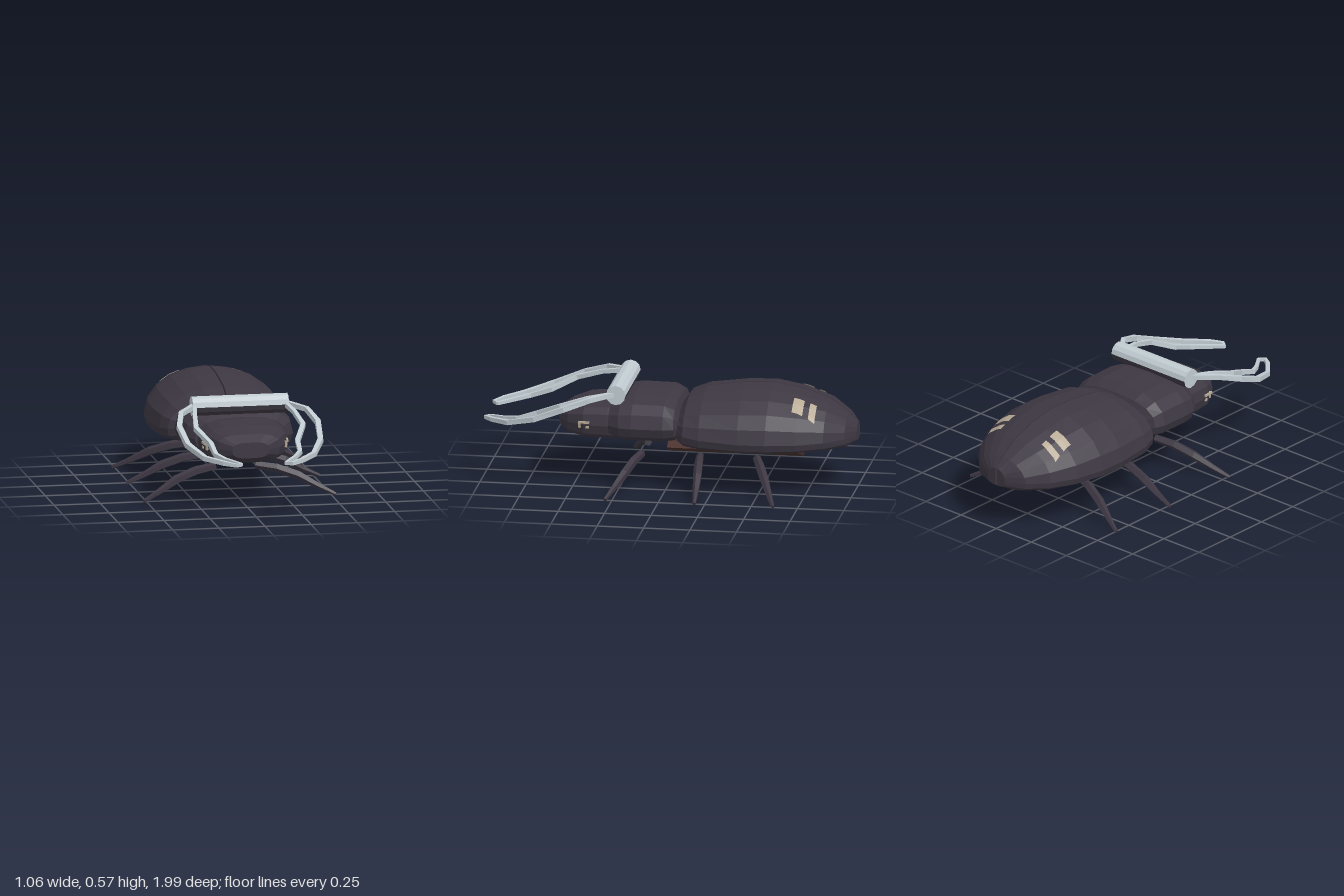
import * as THREE from 'three';

const mat = (name, color, side = THREE.FrontSide) => {
  const m = new THREE.MeshStandardMaterial({ color, side, flatShading: true });
  m.name = name;
  return m;
};
const V = (x, y, z) => new THREE.Vector3(x, y, z);

// Skins a list of closed rings, caps both ends and turns the faces outward
function loft(rings) {
  const tris = [];
  const n = rings[0].length;
  for (let i = 0; i < rings.length - 1; i++) {
    for (let j = 0; j < n; j++) {
      const k = (j + 1) % n;
      const [a, b, c, d] = [rings[i][j], rings[i][k], rings[i + 1][k], rings[i + 1][j]];
      tris.push([a, b, c], [a, c, d]);
    }
  }
  const first = rings[0], last = rings[rings.length - 1];
  for (let j = 1; j < n - 1; j++) {
    tris.push([first[0], first[j + 1], first[j]], [last[0], last[j], last[j + 1]]);
  }
  let volume = 0;
  const cross = V(0, 0, 0);
  for (const [a, b, c] of tris) volume += a.dot(cross.crossVectors(b, c));
  const points = tris.flatMap(([a, b, c]) => (volume < 0 ? [a, c, b] : [a, b, c]));
  const g = new THREE.BufferGeometry().setFromPoints(points);
  g.computeVertexNormals();
  return g;
}

// Tapered tube along a list of [x, y, z, radius]
function limb(path, sides) {
  const pts = path.map(([x, y, z]) => V(x, y, z));
  const rings = pts.map((p, i) => {
    const t = pts[Math.min(i + 1, pts.length - 1)].clone().sub(pts[Math.max(i - 1, 0)]).normalize();
    const u = V(0, 1, 0).cross(t).normalize();
    const w = t.clone().cross(u);
    return Array.from({ length: sides }, (_, j) => {
      const a = (j / sides) * Math.PI * 2 + Math.PI / sides;
      return p.clone().addScaledVector(u, Math.cos(a) * path[i][3]).addScaledVector(w, Math.sin(a) * path[i][3]);
    });
  });
  return loft(rings);
}

// Puts downward faces in material group 1, all others in group 0
function splitUnderside(geometry) {
  const g = geometry.index ? geometry.toNonIndexed() : geometry;
  g.computeVertexNormals();
  g.clearGroups();
  const normal = g.attributes.normal;
  for (let i = 0; i < normal.count; i += 3) g.addGroup(i, 3, normal.getY(i) < -0.15 ? 1 : 0);
  return g;
}

// Body cross-section: [z, half width, top y, bottom y, widest y]
const power = (v, e) => Math.sign(v) * Math.pow(Math.abs(v), e);
function sectionPoint([z, w, top, bottom, mid], a, eTop, eBottom) {
  const s = Math.sin(a), e = s >= 0 ? eTop : eBottom;
  const x = Math.abs(Math.cos(a)) < 1e-6 ? 0 : w * power(Math.cos(a), e);
  return V(x, mid + (s >= 0 ? top - mid : mid - bottom) * power(s, e), z);
}
const fullRing = (sec, sides, e) =>
  Array.from({ length: sides }, (_, j) => sectionPoint(sec, (j / sides) * Math.PI * 2, e, e));

const WING = [
  [-0.06, 0.26, 0.43, 0.25, 0.33], [-0.1, 0.32, 0.485, 0.238, 0.32], [-0.19, 0.35, 0.522, 0.23, 0.31],
  [-0.4, 0.366, 0.55, 0.225, 0.3], [-0.55, 0.36, 0.555, 0.225, 0.3], [-0.71, 0.328, 0.528, 0.23, 0.3],
  [-0.85, 0.26, 0.48, 0.235, 0.3], [-0.95, 0.165, 0.41, 0.24, 0.3], [-1, 0.06, 0.36, 0.26, 0.3],
];
const GAP = 0.004;
const wingRing = (sec) => Array.from({ length: 11 }, (_, j) => {
  const p = sectionPoint(sec, Math.PI / 2 - (j / 10) * Math.PI, 1, 0.6);
  p.x = Math.max(p.x, GAP);
  return p;
});
const WING_RINGS = WING.map(wingRing);

// Height of the faceted wing case at x, z
function wingHeight(x, z) {
  const i = WING.findIndex((s, k) => k + 1 < WING.length && z <= s[0] && z >= WING[k + 1][0]);
  const t = (WING[i][0] - z) / (WING[i][0] - WING[i + 1][0]);
  const ring = WING_RINGS[i].map((p, j) => p.clone().lerp(WING_RINGS[i + 1][j], t));
  const j = ring.findIndex((p, k) => x >= p.x && x <= ring[k + 1].x);
  const f = (x - ring[j].x) / (ring[j + 1].x - ring[j].x);
  return ring[j].y + f * (ring[j + 1].y - ring[j].y);
}

export function createModel() {
  const model = new THREE.Group();
  const shell = mat('dark shell', 0x3d3742);
  const silver = mat('pale horn', 0xc0cbd1);
  const brown = mat('brown belly', 0x4a302b);
  const cream = mat('cream marking', 0xb8ab96, THREE.DoubleSide);
  const add = (name, geometry, material) => {
    const m = new THREE.Mesh(geometry, material);
    m.name = name;
    model.add(m);
    return m;
  };

  // Thorax and head
  const thorax = [
    [-0.065, 0.25, 0.42, 0.27, 0.345], [-0.045, 0.285, 0.465, 0.25, 0.345], [0.01, 0.303, 0.498, 0.242, 0.345],
    [0.18, 0.305, 0.5, 0.242, 0.345], [0.25, 0.295, 0.488, 0.245, 0.345], [0.31, 0.25, 0.455, 0.26, 0.345],
  ];
  add('thorax', loft(thorax.map((s) => fullRing(s, 16, 0.78))), shell);
  const head = [
    [0.2, 0.235, 0.45, 0.24, 0.335], [0.32, 0.235, 0.45, 0.24, 0.335], [0.45, 0.224, 0.44, 0.243, 0.335],
    [0.54, 0.17, 0.41, 0.255, 0.335], [0.595, 0.1, 0.375, 0.29, 0.335],
  ];
  add('head', loft(head.map((s) => fullRing(s, 16, 0.65))), shell);

  // Belly plate
  const belly = new THREE.CylinderGeometry(1, 1, 0.72, 8).rotateX(Math.PI / 2);
  belly.scale(0.14, 0.036, 1).translate(0, 0.206, -0.35);
  add('belly', belly, brown);

  // Cross bar carrying the horns
  const bar = new THREE.CylinderGeometry(0.053, 0.053, 0.52, 12).rotateZ(Math.PI / 2);
  add('hornBar', splitUnderside(bar.translate(0, 0.516, 0.267)), [silver, shell]);

  const legs = {
    frontLeg: [[0.11, 0.16, 0.15, 0.022], [0.22, 0.145, 0.18, 0.025], [0.33, 0.108, 0.21, 0.025], [0.43, 0.055, 0.25, 0.017], [0.52, 0.012, 0.285, 0.01]],
    middleLeg: [[0.11, 0.16, -0.165, 0.022], [0.22, 0.145, -0.175, 0.025], [0.33, 0.108, -0.185, 0.025], [0.43, 0.055, -0.192, 0.017], [0.525, 0.012, -0.197, 0.01]],
    rearLeg: [[0.11, 0.16, -0.47, 0.022], [0.22, 0.145, -0.505, 0.025], [0.33, 0.108, -0.545, 0.025], [0.43, 0.055, -0.585, 0.017], [0.52, 0.012, -0.62, 0.01]],
  };
  const horns = {
    outerHorn: [[0.24, 0.52, 0.27, 0.018], [0.34, 0.505, 0.4, 0.018], [0.375, 0.46, 0.53, 0.02], [0.36, 0.395, 0.69, 0.02], [0.295, 0.352, 0.84, 0.018], [0.21, 0.342, 0.94, 0.016], [0.15, 0.336, 0.985, 0.013], [0.12, 0.335, 0.96, 0.012]],
    innerHorn: [[0.24, 0.52, 0.27, 0.016], [0.27, 0.495, 0.42, 0.016], [0.29, 0.453, 0.56, 0.018], [0.235, 0.395, 0.69, 0.018], [0.228, 0.358, 0.8, 0.016], [0.19, 0.346, 0.87, 0.014], [0.12, 0.335, 0.965, 0.012]],
  };

  for (const [side, s] of [['left', 1], ['right', -1]]) {
    const flip = (path) => path.map(([x, ...rest]) => [x * s, ...rest]);

    // Wing case, separated from its twin by a narrow slit
    add(`${side}WingCase`, loft(WING_RINGS.map((r) => r.map((p) => V(p.x * s, p.y, p.z)))), shell);

    // Two cream bars following the wing surface
    for (const [z0, z1] of [[-0.8, -0.765], [-0.735, -0.678]]) {
      const patch = new THREE.PlaneGeometry(1, 1, 6, 2);
      const p = patch.attributes.position;
      for (let i = 0; i < p.count; i++) {
        const x = 0.195 + p.getX(i) * 0.1;
        const z = (z0 + z1) / 2 - p.getY(i) * (z1 - z0);
        p.setXYZ(i, x * s, wingHeight(x, z) + 0.006, z);
      }
      if (s < 0) patch.index.array.reverse();
      patch.computeVertexNormals();
      add(`${side}WingMarking`, patch, cream);
    }

    for (const [name, path] of Object.entries(legs)) add(`${side}_${name}`, limb(flip(path), 5), shell);
    for (const [name, path] of Object.entries(horns)) {
      add(`${side}_${name}`, splitUnderside(limb(flip(path), 4)), [silver, shell]);
    }

    // Small bracket-shaped eye
    for (const [y, z, h, d] of [[0.35, 0.445, 0.012, 0.06], [0.335, 0.47, 0.035, 0.014], [0.325, 0.425, 0.014, 0.016]]) {
      const eye = add(`${side}Eye`, new THREE.BoxGeometry(0.009, h, d), cream);
      eye.position.set(s * (0.2255 - Math.max(0, z - 0.45) * 0.6), y, z);
      eye.rotation.y = -s * (z > 0.45 ? 0.54 : 0.1);
    }
  }
  return model;
}
